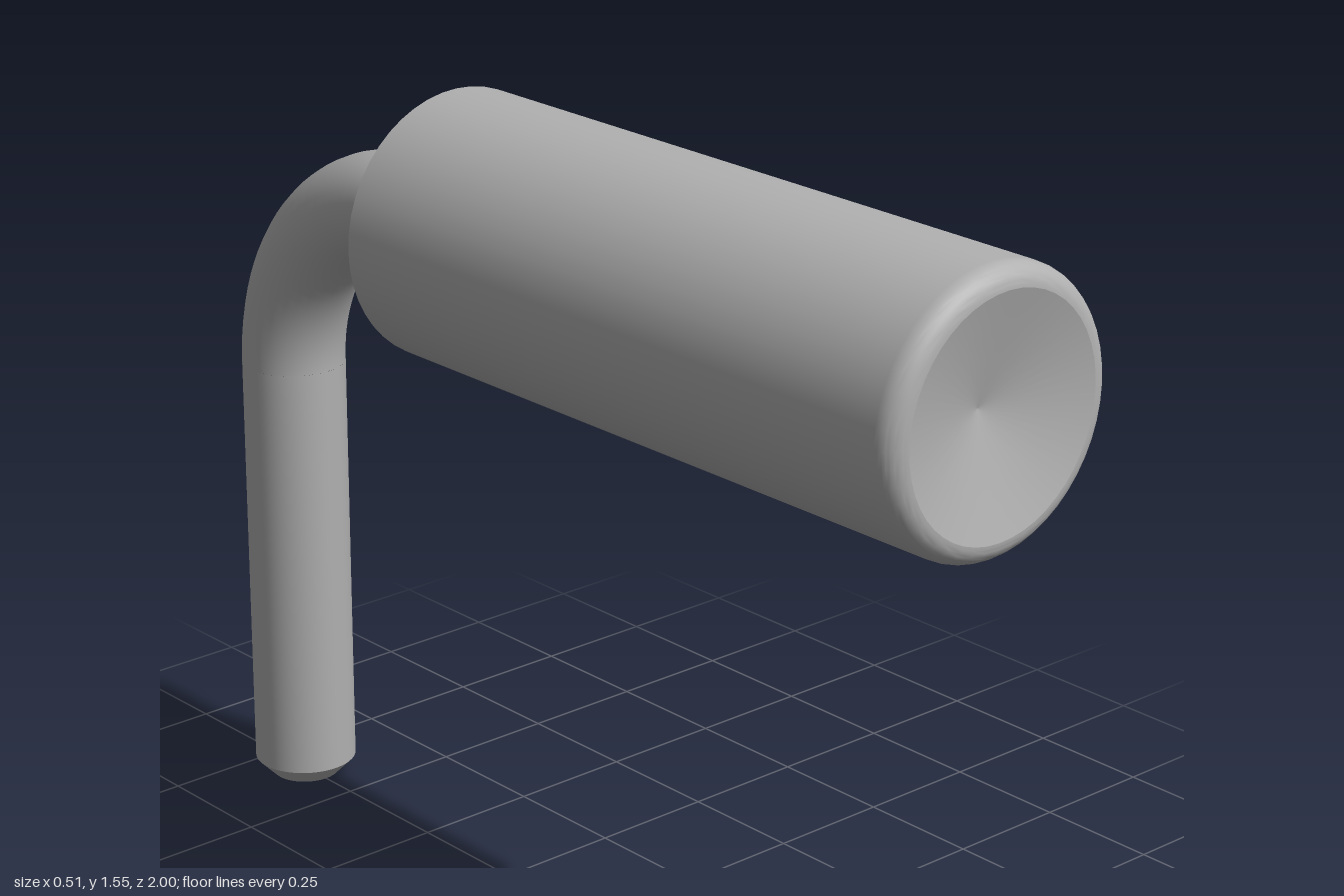
import * as THREE from 'three';
import { toCreasedNormals } from 'three/addons/utils/BufferGeometryUtils.js';

const AXIS_Y = 1.295;      // height of the barrel axis
const BARREL_R = 0.255;
const ROD_R = 0.102;
const BEND_R = 0.404;      // centreline radius of the bend
const BEND_Z = -0.494;     // where the bend begins
const BACK_Z = -0.378;     // rear face of the barrel

// Points along a quarter circle in (radius, height) space
function arc(cr, ch, r, from, to, steps = 9) {
  return Array.from({ length: steps + 1 }, (_, i) => {
    const a = from + (to - from) * i / steps;
    return new THREE.Vector2(cr + r * Math.cos(a), ch + r * Math.sin(a));
  });
}

function turned(points) {
  return toCreasedNormals(new THREE.LatheGeometry(points, 48), 0.25);
}

export function createModel() {
  const group = new THREE.Group();
  const steel = new THREE.MeshStandardMaterial({ color: 0xb0b0b0 });
  steel.name = 'grey steel';

  function add(name, geometry) {
    const mesh = new THREE.Mesh(geometry, steel);
    mesh.name = name;
    group.add(mesh);
    return mesh;
  }

  // Barrel: flared neck, flat rear face, rounded front rim and dished front
  const flare = 0.1, round = 0.04;
  const neckZ = BACK_Z - flare;
  const barrel = add('barrel', turned([
    new THREE.Vector2(ROD_R, BEND_Z),
    ...arc(ROD_R + flare, neckZ, flare, Math.PI, Math.PI / 2),
    new THREE.Vector2(BARREL_R, BACK_Z),
    ...arc(BARREL_R - round, 1 - round, round, 0, Math.PI / 2),
    new THREE.Vector2(0, 0.94),
  ]).rotateX(Math.PI / 2));
  barrel.position.y = AXIS_Y;

  // Quarter bend from the barrel axis down to the leg
  const bend = add('bend', new THREE.TorusGeometry(BEND_R, ROD_R, 32, 24, Math.PI / 2));
  bend.rotation.y = Math.PI / 2;
  bend.position.set(0, AXIS_Y - BEND_R, BEND_Z);

  // Straight leg with a chamfered foot
  const leg = add('leg', turned([
    new THREE.Vector2(0, 0),
    new THREE.Vector2(0.067, 0),
    new THREE.Vector2(ROD_R, 0.036),
    new THREE.Vector2(ROD_R, AXIS_Y - BEND_R),
  ]));
  leg.position.z = BEND_Z - BEND_R;

  return group;
}
